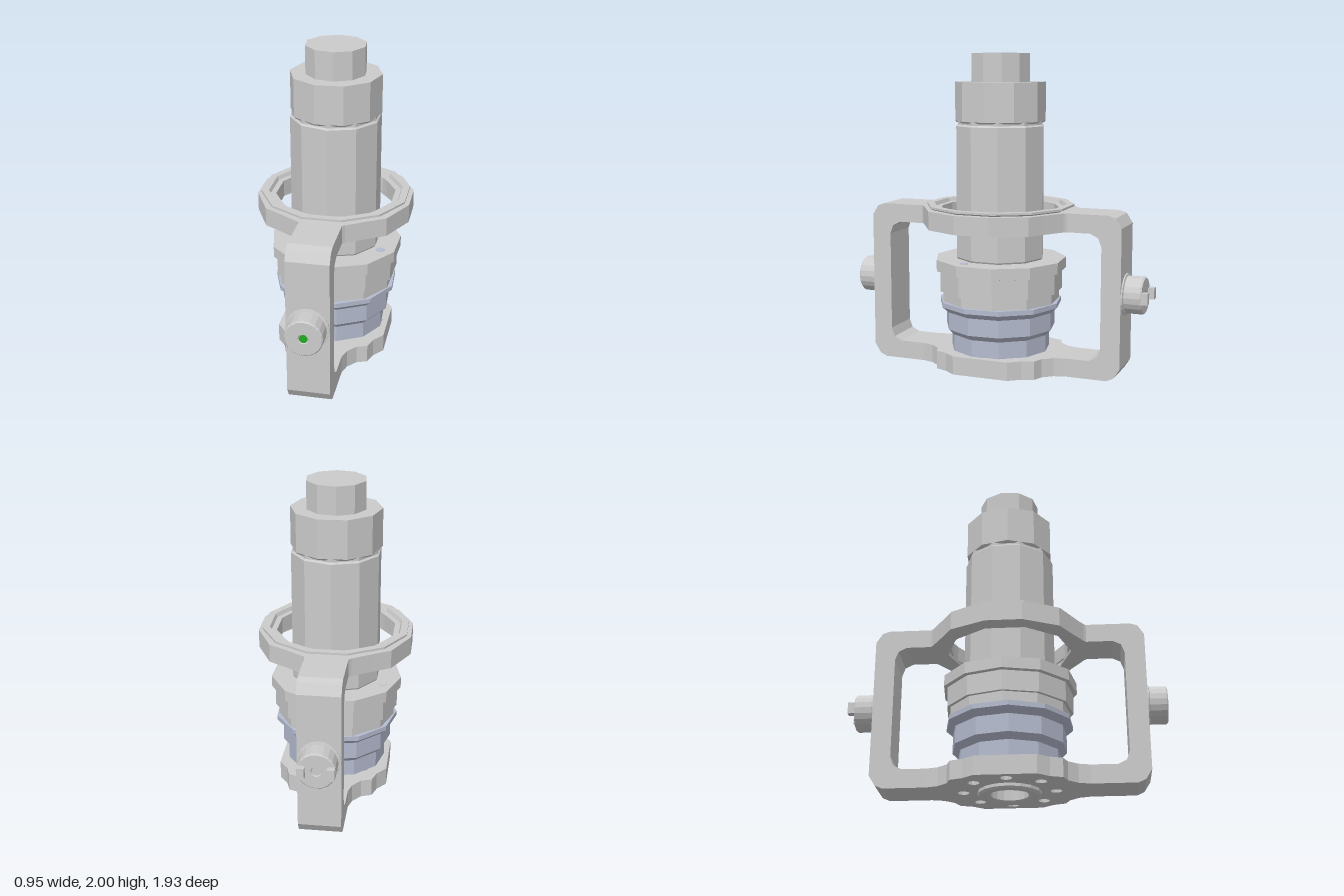
import * as THREE from 'three';

const mat = (color) => new THREE.MeshStandardMaterial({ color, flatShading: true });
const GREY = mat(0xcccccc);
const BLUE = mat(0xb6bcd0);
const GREEN = mat(0x22aa22);
const KNOB_Y = 0.55;

const v2 = (pts) => pts.map(([x, y]) => new THREE.Vector2(x, y));

function add(parent, name, geometry, material = GREY) {
  const mesh = new THREE.Mesh(geometry, material);
  mesh.name = name;
  parent.add(mesh);
  return mesh;
}

// Faceted turned part; the profile runs upward on the outside.
function turned(parent, name, profile, sides, turn = 0, material = GREY) {
  return add(parent, name, new THREE.LatheGeometry(v2(profile), sides, turn), material);
}

// Mirror a quarter outline (x, z > 0) into a full closed outline.
function fourWay(q) {
  const r = [...q].reverse();
  return v2([
    ...q,
    ...r.map(([x, z]) => [-x, z]),
    ...q.map(([x, z]) => [-x, -z]),
    ...r.map(([x, z]) => [x, -z]),
  ]);
}

function circleHole(x, z, r, sides, turn = 0) {
  const pts = [];
  for (let i = 0; i < sides; i++) {
    const a = turn - (i / sides) * Math.PI * 2;
    pts.push(new THREE.Vector2(x + r * Math.sin(a), z + r * Math.cos(a)));
  }
  return new THREE.Path(pts);
}

// Horizontal plate with holes from y0 to y1.
function plate(parent, name, quarter, holes, y0, y1) {
  const shape = new THREE.Shape(fourWay(quarter));
  shape.holes.push(...holes);
  const g = new THREE.ExtrudeGeometry(shape, { depth: y1 - y0, bevelEnabled: false });
  g.rotateX(-Math.PI / 2).translate(0, y0, 0);
  return add(parent, name, g);
}

// C-shaped arm joining the upper and lower plates on one side.
function armGeometry() {
  const s = new THREE.Shape(v2([
    [0.45, 0.03], [0.745, 0.03], [0.79, 0.05], [0.828, 0.11],
    [0.828, 0.97], [0.79, 1.03], [0.745, 1.045], [0.45, 1.045],
    [0.45, 0.93], [0.635, 0.93], [0.685, 0.905], [0.705, 0.85],
    [0.705, 0.225], [0.685, 0.17], [0.635, 0.145], [0.45, 0.145],
  ]));
  const g = new THREE.ExtrudeGeometry(s, { depth: 0.26, bevelEnabled: false });
  return g.translate(0, 0, -0.13).rotateY(-Math.PI / 2);
}

// Trunnion knob pointing along +z from the arm face.
function knob(name) {
  const g = new THREE.Group();
  g.name = name;
  const body = turned(g, 'knobBody', [
    [0, 0], [0.13, 0], [0.13, 0.008], [0.115, 0.012], [0.115, 0.112],
    [0.108, 0.12], [0.032, 0.12], [0.028, 0.112], [0, 0.112],
  ], 20);
  body.rotation.x = Math.PI / 2;
  g.position.y = KNOB_Y;
  return g;
}

export function createModel() {
  const model = new THREE.Group();
  model.name = 'swivelFixture';

  // Yoke frame
  const frame = new THREE.Group();
  frame.name = 'yokeFrame';
  model.add(frame);
  for (const [i, side] of ['frontArm', 'backArm'].entries()) {
    const arm = add(frame, side, armGeometry());
    arm.rotation.y = i * Math.PI;
    arm.position.z = 0.012;
  }

  // Upper ring plate with its stepped lip
  plate(frame, 'upperRing',
    [[0.475, 0.11], [0.37, 0.325], [0.27, 0.385], [0.145, 0.465], [0.13, 0.48]],
    [circleHole(0, 0, 0.385, 10)], 0.93, 1.045).position.z = 0.006;
  turned(frame, 'ringLip', [
    [0.375, 0.95], [0.385, 0.95], [0.43, 1.04], [0.465, 1.055], [0.465, 1.068],
    [0.42, 1.068], [0.41, 1.045], [0.375, 1.045], [0.375, 0.95],
  ], 12, Math.PI / 12).position.z = 0.006;

  // Lower plate with a bolt circle
  const boltHoles = [circleHole(0, 0, 0.15, 16)];
  for (let i = 0; i < 8; i++) {
    const a = (i * Math.PI) / 4;
    boltHoles.push(circleHole(0.275 * Math.cos(a), 0.275 * Math.sin(a), 0.036, 10));
  }
  plate(frame, 'lowerPlate',
    [[0.345, 0.18], [0.29, 0.25], [0.265, 0.325], [0.2, 0.35], [0.15, 0.41], [0.13, 0.48]],
    boltHoles, 0.03, 0.145).position.z = 0.006;

  // Hub under the lower plate, with a recessed bore
  turned(model, 'bottomHub', [
    [0.115, 0.12], [0.115, 0.012], [0.14, 0], [0.175, 0], [0.19, 0.012], [0.19, 0.035], [0.14, 0.035],
  ], 16).position.z = 0.006;

  // Lower drum
  turned(model, 'lowerDrum', [
    [0, 0.11], [0.14, 0.11], [0.14, 0.14], [0.315, 0.14], [0.315, 0.25],
    [0.35, 0.285], [0.35, 0.395], [0.39, 0.43], [0.39, 0.46], [0, 0.46],
  ], 11, 0.2, BLUE).position.z = 0.005;

  // Stepped collar
  turned(model, 'collar', [
    [0, 0.455], [0.372, 0.455], [0.372, 0.525], [0.392, 0.525], [0.392, 0.65],
    [0.415, 0.655], [0.415, 0.725], [0, 0.725],
  ], 11, 0.1).position.z = 0.005;
  for (const s of [1, -1]) {
    const pin = add(model, 'collarPin', new THREE.CylinderGeometry(0.026, 0.026, 0.01, 10), s > 0 ? BLUE : GREY);
    pin.position.set(0.305 * s, 0.724, 0.125 * s);
  }

  // Main column, cap and neck
  turned(model, 'column', [
    [0, 0.7], [0.272, 0.72], [0.281, 0.735], [0.281, 1.555], [0.27, 1.565], [0.27, 1.59], [0, 1.59],
  ], 10).position.z = 0.005;
  turned(model, 'columnCap', [
    [0, 1.575], [0.272, 1.575], [0.281, 1.585], [0.281, 1.825], [0, 1.825],
  ], 10, 0.35).position.z = 0.005;
  turned(model, 'topNeck', [
    [0, 1.82], [0.187, 1.82], [0.187, 2], [0, 2],
  ], 10, 0.1).position.z = 0.005;

  // Front knob with its green indicator
  const front = knob('frontKnob');
  front.position.z = 0.84;
  const light = add(front, 'indicator', new THREE.CylinderGeometry(0.025, 0.025, 0.02, 12), GREEN);
  light.rotation.x = Math.PI / 2;
  light.position.z = 0.109;
  model.add(front);

  // Back knob with two drive tabs
  const back = knob('backKnob');
  back.rotation.y = Math.PI;
  back.position.z = -0.816;
  for (const s of [1, -1]) {
    const tab = add(back, 'driveTab', new THREE.BoxGeometry(0.045, 0.07, 0.05));
    tab.position.set(0.087 * s, 0, 0.133);
  }
  model.add(back);

  return model;
}
